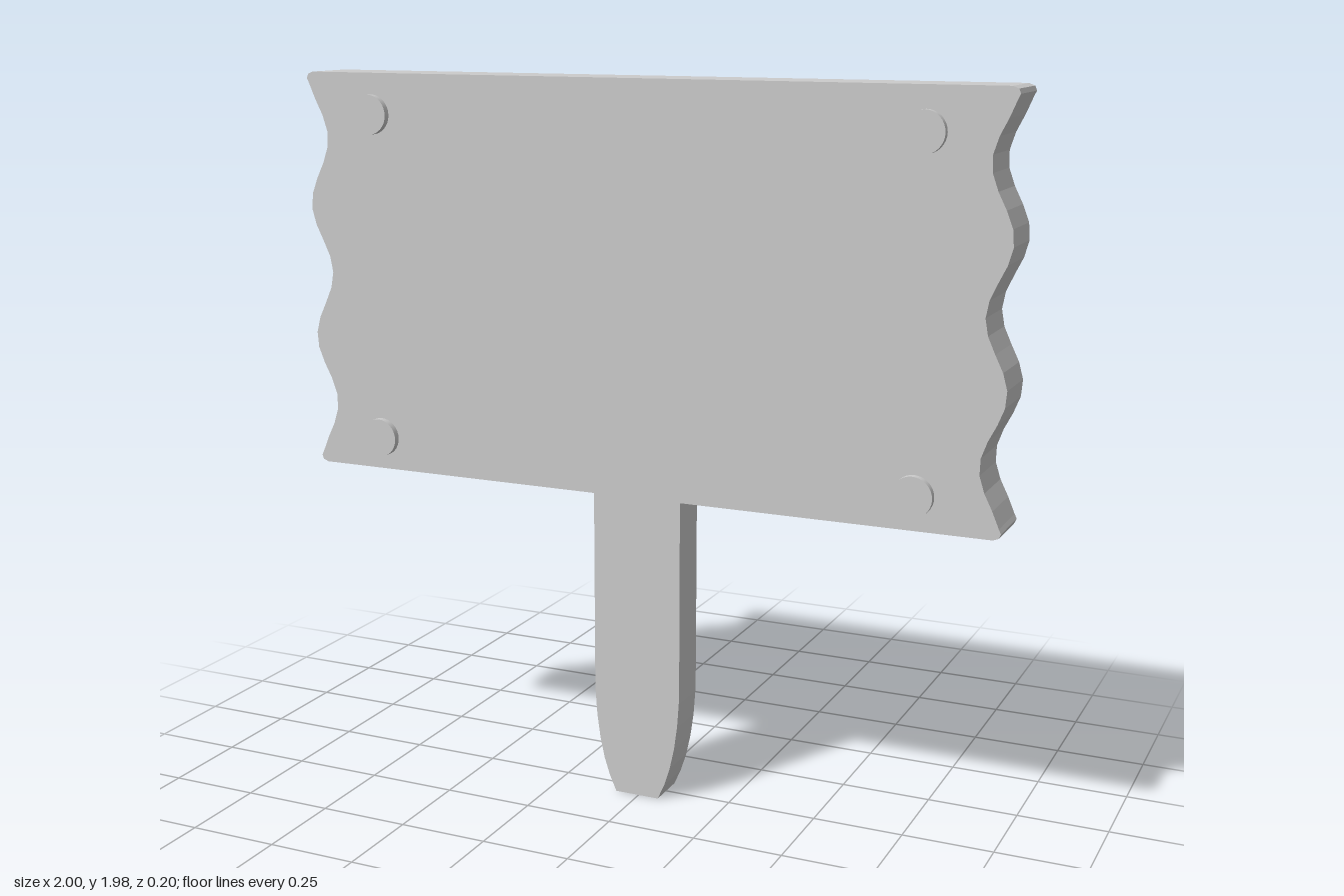
import * as THREE from 'three';

const material = new THREE.MeshStandardMaterial({ color: 0xcccccc });

// Extrude a closed outline so that it is centred on z = 0
function slab(name, points, depth) {
  const shape = new THREE.Shape(points.map(([x, y]) => new THREE.Vector2(x, y)));
  const geometry = new THREE.ExtrudeGeometry(shape, { depth, bevelEnabled: false });
  geometry.translate(0, 0, -depth / 2);
  const mesh = new THREE.Mesh(geometry, material);
  mesh.name = name;
  return mesh;
}

// Mirror a right-hand edge (bottom to top) about x = cx to close the outline
function mirrored(edge, cx = 0) {
  const right = edge.map(([x, y]) => [cx + x, y]);
  const left = edge.map(([x, y]) => [cx - x, y]).reverse();
  return [...right, ...left];
}

export function createModel() {
  const group = new THREE.Group();
  group.name = 'signpost';

  // Board with scalloped ends and small clipped corners
  const bottom = 0.87, top = 1.98, period = 0.375, steps = 24;
  const edge = [[0.98, bottom], [0.995, 0.876], [1, 0.888]];
  for (let i = 0; i <= steps; i++) {
    const y = 0.9 + (1.95 - 0.9) * i / steps;
    edge.push([0.969 + 0.031 * Math.cos((y - 1.425) / period * 2 * Math.PI + Math.PI), y]);
  }
  edge.push([1, 1.962], [0.995, 1.974], [0.98, top]);
  group.add(slab('board', mirrored(edge), 0.16));

  // Stake, tapering in a curve to a blunt foot
  const stakeEdge = [
    [0.064, 0], [0.084, 0.045], [0.1, 0.095], [0.113, 0.155],
    [0.122, 0.22], [0.127, 0.29], [0.128, 0.36], [0.128, 0.88],
  ];
  group.add(slab('stake', mirrored(stakeEdge, -0.005), 0.116));

  // Round pegs through the board, showing on both faces
  const pegGeometry = new THREE.CylinderGeometry(0.054, 0.054, 0.198, 32).rotateX(Math.PI / 2);
  for (const x of [-0.793, 0.773]) {
    for (const y of [0.962, 1.868]) {
      const peg = new THREE.Mesh(pegGeometry, material);
      peg.name = 'peg';
      peg.position.set(x, y, 0);
      group.add(peg);
    }
  }
  return group;
}
